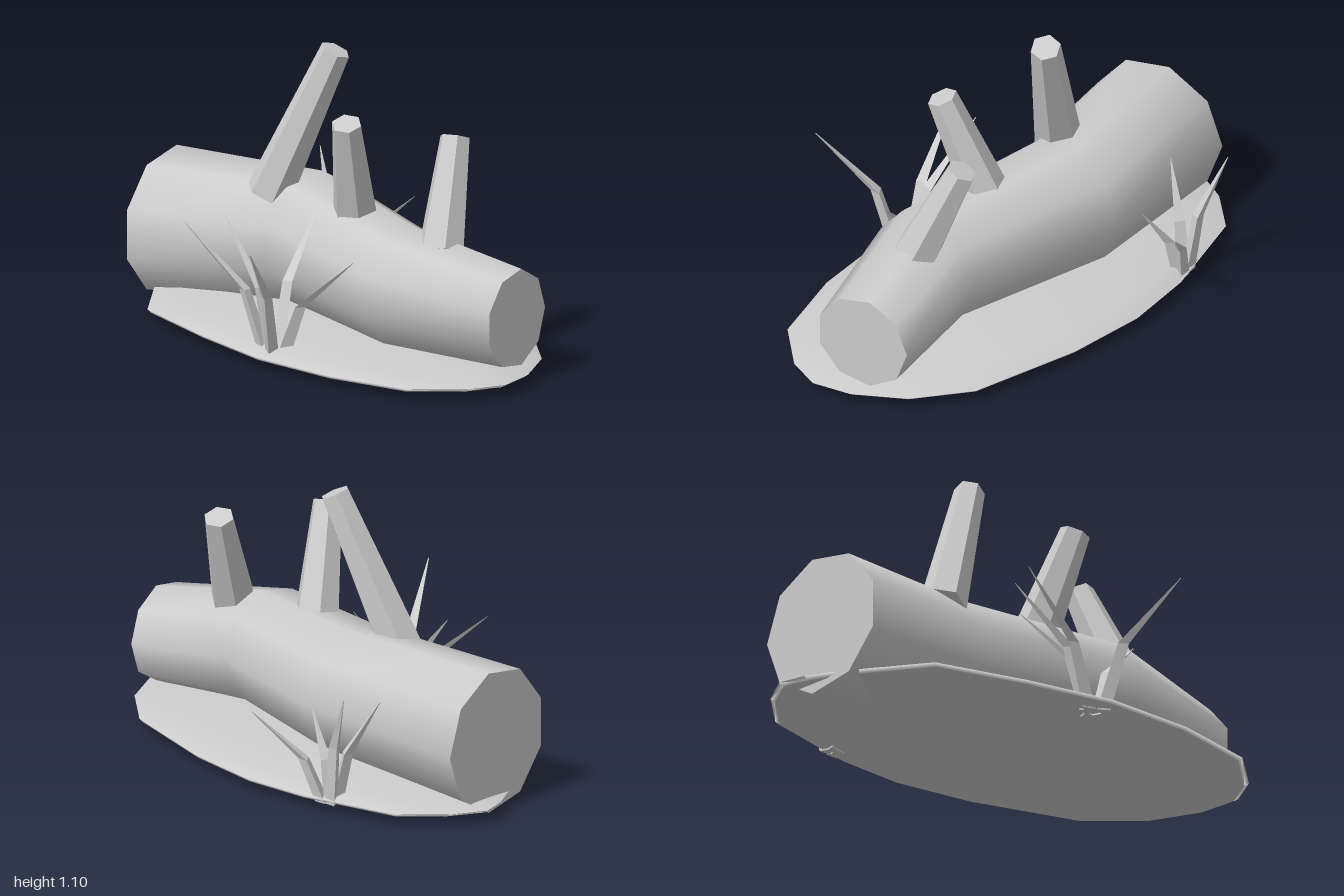
import * as THREE from 'three';

const V = (x, y, z) => new THREE.Vector3(x, y, z);

// Skin through rings of points (counter-clockwise about the direction of travel), with flat end caps
function loft(rings, flat = false) {
  const n = rings[0].length, pos = [], idx = [];
  const add = p => pos.push(p.x, p.y, p.z) / 3 - 1;
  rings.forEach(ring => ring.forEach(add));
  for (let i = 0; i < rings.length - 1; i++) {
    for (let k = 0; k < n; k++) {
      const a = i * n + k, b = i * n + (k + 1) % n;
      idx.push(a, b, a + n, b, b + n, a + n);
    }
  }
  [rings[0], rings[rings.length - 1]].forEach((ring, end) => {
    const first = pos.length / 3;
    ring.forEach(add);
    const mid = V(0, 0, 0);
    ring.forEach(p => mid.addScaledVector(p, 1 / n));
    const c = add(mid);
    for (let k = 0; k < n; k++) {
      const a = first + k, b = first + (k + 1) % n;
      if (end) idx.push(c, a, b); else idx.push(c, b, a);
    }
  });
  let g = new THREE.BufferGeometry();
  g.setAttribute('position', new THREE.Float32BufferAttribute(pos, 3));
  g.setIndex(idx);
  if (flat) g = g.toNonIndexed();
  g.computeVertexNormals();
  return g;
}

// Regular ring of n points around c, spanned by u and v
const ring = (c, r, u, v, n) => Array.from({ length: n }, (_, k) => {
  const a = k / n * Math.PI * 2;
  return c.clone().addScaledVector(u, r * Math.cos(a)).addScaledVector(v, r * Math.sin(a));
});

export function createModel() {
  const model = new THREE.Group();
  const grey = new THREE.MeshStandardMaterial({ color: 0xcccccc });
  grey.name = 'plain grey';
  const part = (name, geometry, parent = model) => {
    const m = new THREE.Mesh(geometry, grey);
    m.name = name;
    parent.add(m);
    return m;
  };

  // Bent, tapering nine-sided trunk: centre, radius, sideways direction
  const trunk = [
    [V(-0.89, 0.278, 0.055), 0.28, V(-0.14, 0, -0.53)],
    [V(-0.24, 0.325, -0.117), 0.255, V(-0.04, 0, -0.5)],
    [V(0.407, 0.302, -0.037), 0.229, V(-0.05, 0, -0.445)],
    [V(0.885, 0.258, -0.187), 0.19, V(-0.11, 0, -0.355)],
  ];
  part('log', loft(trunk.map(([c, r, u]) => ring(c, r, u.normalize(), V(0, 1, 0), 9))));

  // Low ground mound with an irregular oval outline
  const outline = [
    [-1, -0.07], [-0.95, -0.21], [-0.83, -0.37], [-0.45, -0.52], [-0.18, -0.575], [0.15, -0.572],
    [0.6, -0.5], [0.82, -0.36], [0.95, -0.19], [1, -0.04], [0.96, 0.1], [0.82, 0.28],
    [0.5, 0.4], [0.14, 0.46], [-0.22, 0.44], [-0.6, 0.39], [-0.85, 0.15], [-0.95, 0.03],
  ].reverse();
  const levels = [[0.98, 0.042], [1, 0.055], [0.85, 0.077], [0.6, 0.097], [0.3, 0.106], [0.02, 0.108]];
  part('ground', loft(levels.map(([s, y]) => outline.map(([x, z]) => V(x * s, y, -0.05 + (z + 0.05) * s)))));

  // Six-sided broken branches: base and tip
  const branches = new THREE.Group();
  branches.name = 'branches';
  model.add(branches);
  [
    [V(-0.335, 0.5, 0.02), V(-0.125, 1.08, -0.13)],
    [V(0.1, 0.48, -0.05), V(0.207, 0.91, 0.083)],
    [V(0.53, 0.455, -0.11), V(0.433, 0.85, -0.255)],
  ].forEach(([a, b]) => {
    const h = a.distanceTo(b);
    const m = part('branch', new THREE.CylinderGeometry(0.058, 0.09, h, 6).toNonIndexed(), branches);
    m.geometry.computeVertexNormals();
    m.position.copy(a).lerp(b, 0.5);
    m.quaternion.setFromUnitVectors(V(0, 1, 0), b.clone().sub(a).normalize());
  });

  // Tufts of bent grass blades fanning out from one root
  const tuft = (name, root, midY, tips) => {
    const g = new THREE.Group();
    g.name = name;
    model.add(g);
    tips.forEach(([x, y, z]) => {
      const tip = V(x, y, z);
      const out = V(x - root.x, 0, z - root.z);
      const base = root.clone().addScaledVector(out, 0.1);
      const bend = root.clone().addScaledVector(out, 0.33).setY(midY * (y / 0.5));
      out.normalize();
      const side = V(out.z, 0, -out.x);
      const rings = [[base, 0.03], [bend, 0.024], [tip, 0.002]]
        .map(([c, r]) => ring(c, r, out, side, 3));
      part('blade', loft(rings, true), g);
    });
  };
  tuft('frontGrass', V(0.12, 0.035, 0.36), 0.28, [
    [-0.01, 0.54, 0.04], [0.39, 0.43, 0.2], [0.325, 0.53, 0.64], [-0.25, 0.495, 0.49], [-0.21, 0.5, 0.33],
  ]);
  tuft('backGrass', V(-0.53, 0.035, -0.45), 0.27, [
    [-0.3, 0.37, -0.645], [-0.7, 0.5, -0.515], [-0.62, 0.42, -0.29], [-0.36, 0.35, -0.41],
  ]);

  return model;
}
